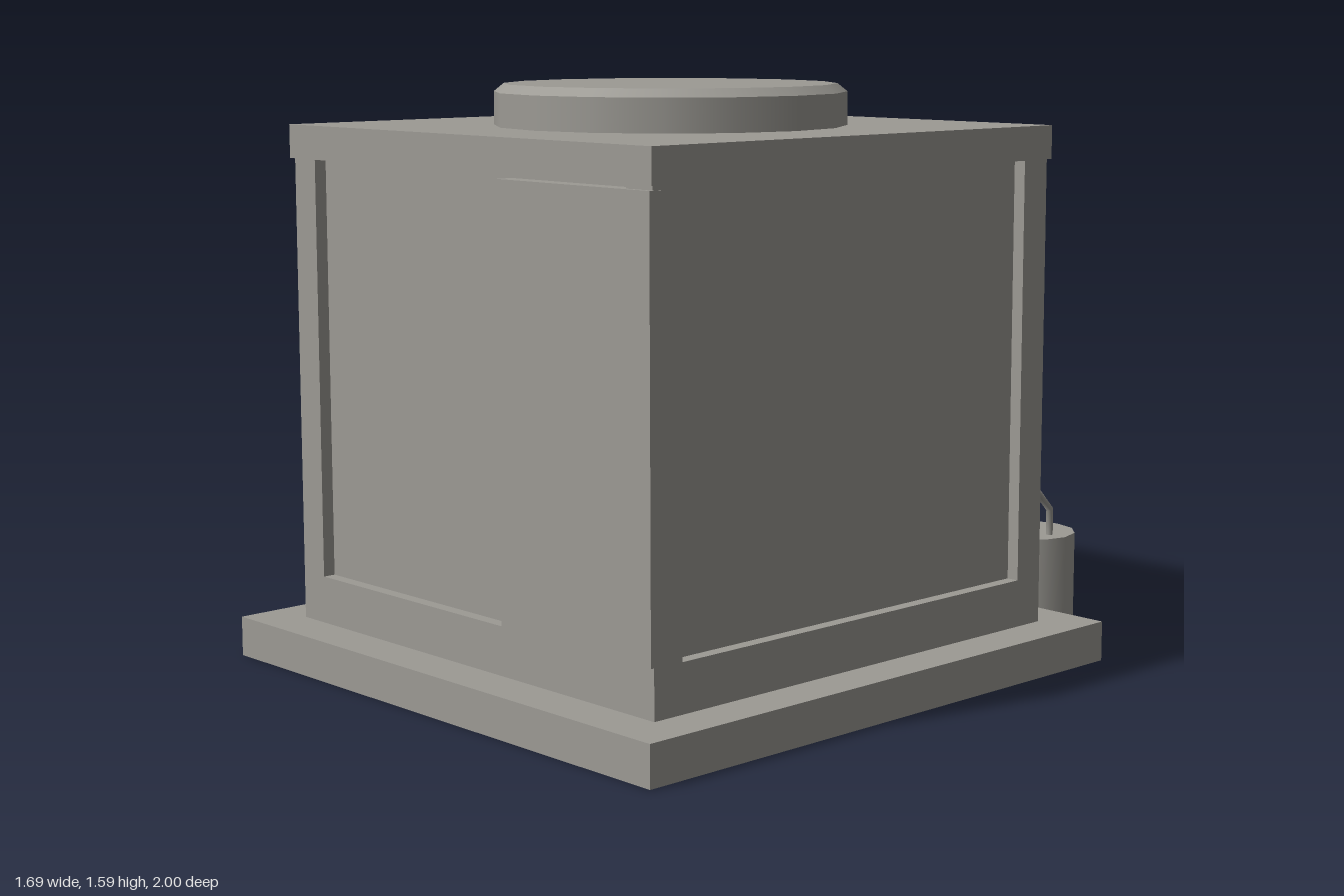
import * as THREE from 'three';

const grey = new THREE.MeshStandardMaterial({ color: 0x9c9a94, side: THREE.DoubleSide });
grey.name = 'warm grey';

function add(parent, name, geometry) {
  const mesh = new THREE.Mesh(geometry, grey);
  mesh.name = name;
  parent.add(mesh);
  return mesh;
}

// Box given by its limits on each axis
function box(parent, name, x0, x1, y0, y1, z0, z1) {
  const mesh = add(parent, name, new THREE.BoxGeometry(x1 - x0, y1 - y0, z1 - z0));
  mesh.position.set((x0 + x1) / 2, (y0 + y1) / 2, (z0 + z1) / 2);
  return mesh;
}

// Upright cylinder from y0 to y1
function drum(parent, name, rTop, rBottom, x, y0, y1, z, sides, open = false) {
  const mesh = add(parent, name, new THREE.CylinderGeometry(rTop, rBottom, y1 - y0, sides, 1, open));
  mesh.position.set(x, (y0 + y1) / 2, z);
  return mesh;
}

// Pipe with mitred bends along [y, z] points at a constant x
function pipeGeometry(x, path, r, sides = 12) {
  const pts = path.map(([y, z]) => new THREE.Vector2(z, y));
  const pos = [], index = [];
  pts.forEach((p, i) => {
    const a = i > 0 ? p.clone().sub(pts[i - 1]).normalize() : null;
    const b = i < pts.length - 1 ? pts[i + 1].clone().sub(p).normalize() : null;
    const t = (a || b).clone().add(b || a).normalize();
    const stretch = r / t.dot(a || b);
    for (let k = 0; k < sides; k++) {
      const u = (k / sides) * Math.PI * 2;
      const s = Math.sin(u) * stretch;
      pos.push(x + Math.cos(u) * r, p.y + t.x * s, p.x - t.y * s);
      if (b) {
        const c = i * sides + k, d = i * sides + (k + 1) % sides;
        index.push(c, d, c + sides, d, d + sides, c + sides);
      }
    }
  });
  const g = new THREE.BufferGeometry();
  g.setAttribute('position', new THREE.Float32BufferAttribute(pos, 3));
  g.setIndex(index);
  g.computeVertexNormals();
  return g;
}

export function createModel() {
  const model = new THREE.Group();
  model.name = 'cabinet';

  // Base slab, hollow underneath
  const base = box(model, 'base', -0.845, 0.845, 0, 0.11, -0.69, 1);
  const faces = Array.from(base.geometry.index.array);
  faces.splice(18, 6);
  base.geometry.setIndex(faces);
  base.geometry.clearGroups();

  // Recessed panels with corner posts and bottom rails
  const X = 0.72, Z0 = -0.565, Z1 = 0.872, deep = 0.035, post = 0.092, top = 1.39;
  const body = new THREE.Group();
  body.name = 'body';
  model.add(body);
  box(body, 'panels', -X + deep, X - deep, 0.11, top, Z0 + deep, Z1 - deep);
  for (const [x0, x1] of [[-X, -X + post], [X - post, X]]) {
    box(body, 'cornerPost', x0, x1, 0.11, top, Z0, Z0 + post);
    box(body, 'cornerPost', x0, x1, 0.11, top, Z1 - post, Z1);
    box(body, 'sideRail', x0, x1, 0.11, 0.24, Z0 + post, Z1 - post);
  }
  box(body, 'backRail', -X + post, X - post, 0.11, 0.24, Z0, Z0 + post);
  box(body, 'frontRail', -X + post, X - post, 0.11, 0.24, Z1 - post, Z1);
  box(model, 'door', 0.163, 0.724, 0.243, 1.375, Z1 - deep, 0.886);

  // Lid and its chamfered round cover
  box(model, 'lid', -0.728, 0.728, 1.387, 1.478, -0.575, 0.883);
  drum(model, 'coverRim', 0.477, 0.477, 0, 1.478, 1.568, 0.15, 16, true);
  drum(model, 'coverTop', 0.45, 0.477, 0, 1.568, 1.59, 0.15, 16);

  // Fittings on the back wall
  const fittings = new THREE.Group();
  fittings.name = 'fittings';
  model.add(fittings);
  box(fittings, 'mountPlate', 0.283, 0.58, 0.315, 0.61, -0.583, Z0 + deep);

  // Each outlet has a collar, a valve stem and a bent pipe
  const outlets = [
    { x: 0.36, y: 0.54, r: 0.035, collar: 0.04, stem: 0.015, stemTop: 0.622, bend: [[0.54, -0.81], [0.487, -0.86]] },
    { x: 0.515, y: 0.409, r: 0.01, collar: 0.028, stem: 0.01, stemTop: 0.485, bend: [[0.409, -0.81], [0.354, -0.864]] },
  ];
  for (const o of outlets) {
    const collar = drum(fittings, 'collar', o.collar, o.collar, o.x, 0, 0.08, 0, 12);
    collar.rotation.x = Math.PI / 2;
    collar.position.set(o.x, o.y, -0.62);
    drum(fittings, 'valveStem', o.stem, o.stem, o.x, o.y, o.stemTop, -0.655, 8);
    const path = [[o.y, -0.6], ...o.bend, [0.27, o.bend[1][1]]];
    add(fittings, 'pipe', pipeGeometry(o.x, path, o.r));
  }

  // Canister, open underneath
  drum(model, 'canister', 0.137, 0.137, 0.435, 0, 0.28, -0.864, 12, true);
  const cap = add(model, 'canisterTop', new THREE.CircleGeometry(0.137, 12));
  cap.rotation.x = -Math.PI / 2;
  cap.position.set(0.435, 0.28, -0.864);

  return model;
}
